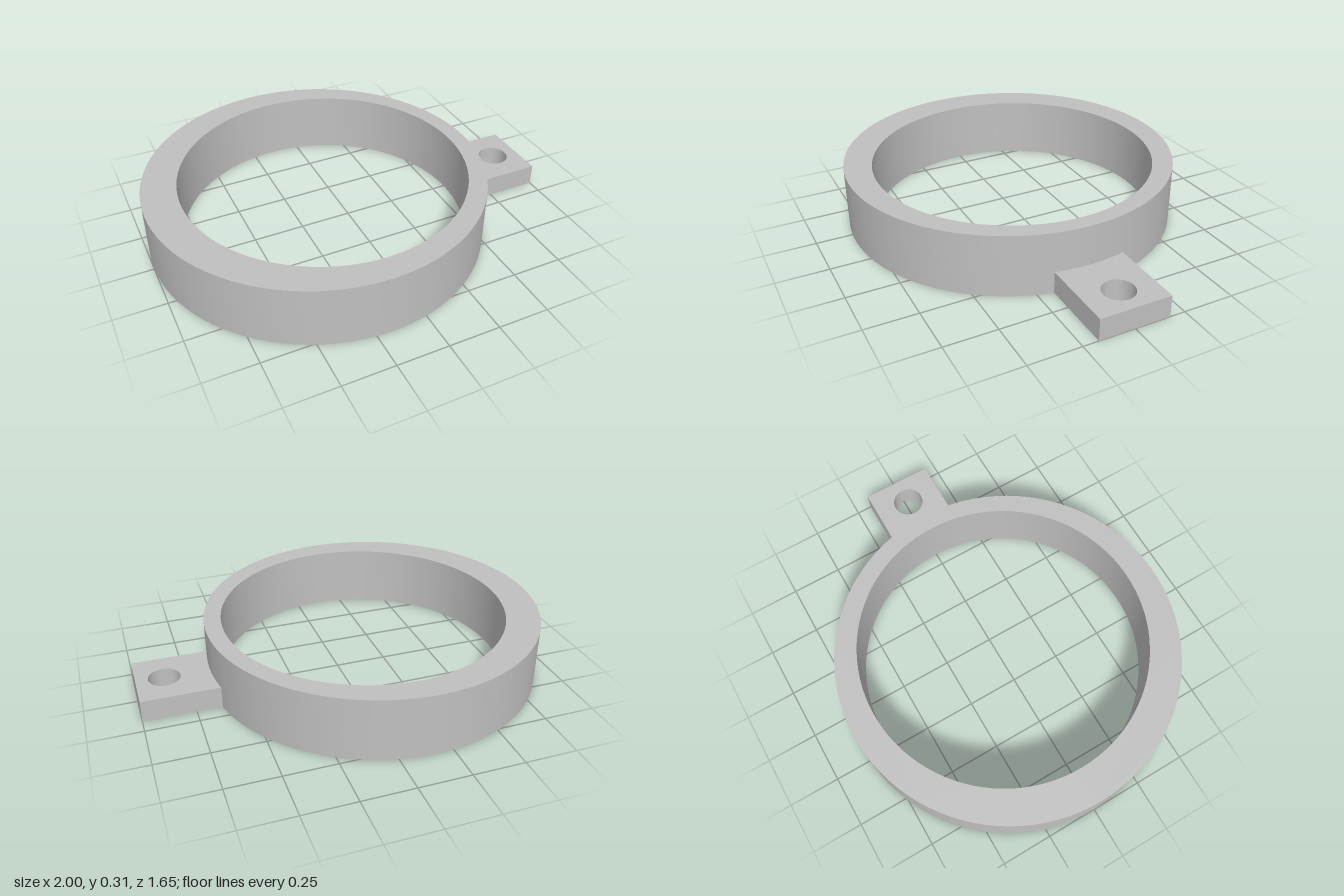
import * as THREE from 'three';
import { toCreasedNormals } from 'three/addons/utils/BufferGeometryUtils.js';

const OUTER = { x: -0.176, r: 0.824 };
const BORE = { x: -0.132, r: 0.698 };
const RING_HEIGHT = 0.306;
const TAB = { half: 0.175, end: 1, height: 0.108 };
const HOLE = { x: 0.865, r: 0.076 };

const circle = (path, { x, r }) => path.absarc(x, 0, r, 0, Math.PI * 2, false);

// Plan outline raised from y = 0, smooth round walls with sharp rims
function raise(name, shape, height, material) {
  const geometry = new THREE.ExtrudeGeometry(shape, {
    depth: height, bevelEnabled: false, curveSegments: 48,
  });
  geometry.rotateX(-Math.PI / 2);
  const mesh = new THREE.Mesh(toCreasedNormals(geometry, 0.5), material);
  mesh.name = name;
  return mesh;
}

export function createModel() {
  const group = new THREE.Group();
  group.name = 'eccentricRing';
  const grey = new THREE.MeshStandardMaterial({ color: 0xc0c0c0 });
  grey.name = 'plain grey';

  // Ring with an off-centre bore, thinner on the tab side
  const ring = circle(new THREE.Shape(), OUTER);
  ring.holes.push(circle(new THREE.Path(), BORE));
  group.add(raise('ring', ring, RING_HEIGHT, grey));

  // Mounting tab whose inner edge follows the ring wall
  const seat = OUTER.r - 0.003;
  const angle = Math.asin(TAB.half / seat);
  const tab = new THREE.Shape();
  tab.absarc(OUTER.x, 0, seat, angle, -angle, true);
  tab.lineTo(TAB.end, -TAB.half);
  tab.lineTo(TAB.end, TAB.half);
  tab.closePath();
  tab.holes.push(circle(new THREE.Path(), HOLE));
  group.add(raise('mountingTab', tab, TAB.height, grey));

  return group;
}
